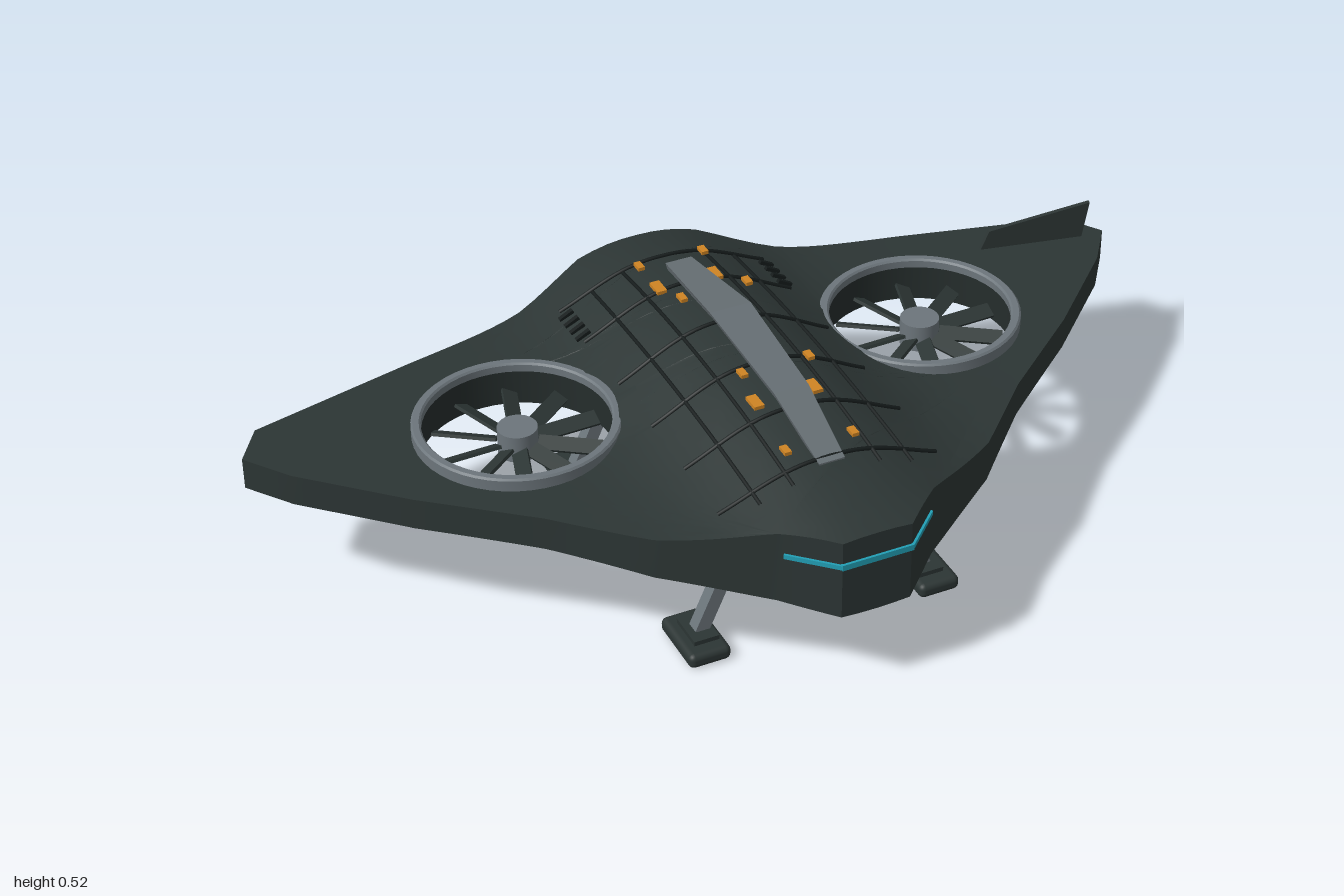
import * as THREE from 'three';
import { mergeGeometries, toCreasedNormals } from 'three/addons/utils/BufferGeometryUtils.js';
import { RoundedBoxGeometry } from 'three/addons/geometries/RoundedBoxGeometry.js';

const mat = (name, color, side = THREE.FrontSide) => {
  const m = new THREE.MeshStandardMaterial({ color, side });
  m.name = name;
  return m;
};

// Right half of the planform, nose to tail, as [x, z]
const HALF = [[0.075, 0.555], [0.17, 0.465], [0.37, 0.33], [0.53, 0.17], [0.74, 0], [0.93, -0.18],
  [1, -0.275], [0.945, -0.36], [0.58, -0.45], [0.305, -0.51], [0.14, -0.573]];
const OUTLINE = [...HALF, ...HALF.map(([x, z]) => [-x, z]).reverse()];
const FAN = { x: 0.463, z: -0.135, r: 0.207 };
const STEP = 0.06;

// Upper and lower skin heights
const top = (x, z) => 0.33 + (0.132 - 0.18 * (z + 0.1) ** 2) * Math.exp(-((Math.abs(x) / 0.23) ** 2.4));
const bottom = (x) => 0.26 - 0.06 * Math.exp(-((x / 0.33) ** 2));

// Blended-wing hull: two curved skins with fan openings, joined by a rim wall
function hullGeometry() {
  const shape = new THREE.Shape(OUTLINE.map(([x, z]) => new THREE.Vector2(x, -z)));
  for (const s of [1, -1]) {
    const hole = new THREE.Path();
    hole.absarc(s * FAN.x, -FAN.z, FAN.r, 0, Math.PI * 2, true);
    shape.holes.push(hole);
  }
  const flat = new THREE.ShapeGeometry(shape, 24);
  const p = flat.attributes.position;
  const idx = flat.index.array;
  const out = [];
  const pt = (i) => [p.getX(i), -p.getY(i)];
  const dist = (a, b) => Math.hypot(a[0] - b[0], a[1] - b[1]);
  const mid = (a, b) => [(a[0] + b[0]) / 2, (a[1] + b[1]) / 2];
  const up = (q) => [q[0], top(q[0], q[1]), q[1]];
  const down = (q) => [q[0], bottom(q[0]), q[1]];

  // Bisect the longest edge until every triangle is small enough to bend
  const split = (a, b, c) => {
    const ab = dist(a, b), bc = dist(b, c), ca = dist(c, a);
    const longest = Math.max(ab, bc, ca);
    if (longest <= STEP) {
      out.push(...up(a), ...up(b), ...up(c), ...down(a), ...down(c), ...down(b));
    } else if (longest === ab) {
      const m = mid(a, b);
      split(a, m, c); split(m, b, c);
    } else if (longest === bc) {
      const m = mid(b, c);
      split(a, b, m); split(a, m, c);
    } else {
      const m = mid(c, a);
      split(a, b, m); split(m, b, c);
    }
  };
  for (let i = 0; i < idx.length; i += 3) split(pt(idx[i]), pt(idx[i + 1]), pt(idx[i + 2]));

  const wall = (a, b) => {
    if (dist(a, b) > STEP) {
      const m = mid(a, b);
      wall(a, m); wall(m, b);
      return;
    }
    out.push(...down(a), ...down(b), ...up(b), ...down(a), ...up(b), ...up(a));
  };
  OUTLINE.forEach((a, i) => wall(a, OUTLINE[(i + 1) % OUTLINE.length]));

  const g = new THREE.BufferGeometry();
  g.setAttribute('position', new THREE.Float32BufferAttribute(out, 3));
  return toCreasedNormals(g, 0.5);
}

// Raised dorsal strip lofted from rectangular sections [z, top y, half width]
function spineGeometry() {
  const sections = [[0.36, 0.427, 0.028], [0.18, 0.485, 0.038], [-0.1, 0.512, 0.046], [-0.355, 0.482, 0.03]];
  const out = [];
  const ring = ([z, y, w]) => [[-w, y, z], [w, y, z], [w * 0.85, y - 0.017, z], [-w * 0.85, y - 0.017, z]];
  const quad = (a, b, c, d) => out.push(...a, ...b, ...c, ...a, ...c, ...d);
  const rings = sections.map(ring);
  for (let i = 0; i < rings.length - 1; i++) {
    const f = rings[i], b = rings[i + 1];
    for (let k = 0; k < 4; k++) quad(f[k], f[(k + 1) % 4], b[(k + 1) % 4], b[k]);
  }
  const f = rings[0], b = rings[rings.length - 1];
  quad(f[3], f[2], f[1], f[0]);
  quad(b[0], b[1], b[2], b[3]);
  const g = new THREE.BufferGeometry();
  g.setAttribute('position', new THREE.Float32BufferAttribute(out, 3));
  g.computeVertexNormals();
  return g;
}

export function createModel() {
  const model = new THREE.Group();
  model.name = 'fanWingDrone';
  const hullMat = mat('hull green-black', 0x2c3534);
  const ribMat = mat('rib black', 0x151b1b);
  const metal = mat('grey metal', 0x6c757b);
  const ductMat = mat('duct dark', 0x252d2c, THREE.DoubleSide);
  const spineMat = mat('spine grey', 0x666e73, THREE.DoubleSide);
  const orange = mat('marker orange', 0xcf8423);
  const cyan = mat('light cyan', 0x229fb5);

  const add = (name, geo, material, x = 0, y = 0, z = 0, parent = model) => {
    const m = new THREE.Mesh(geo, material);
    m.name = name;
    m.position.set(x, y, z);
    parent.add(m);
    return m;
  };
  const box = (w, h, d) => new THREE.BoxGeometry(w, h, d);

  add('hull', hullGeometry(), hullMat);
  add('spine', spineGeometry(), spineMat);

  // Ribs that follow the upper skin
  const rib = (name, from, to) => {
    const pts = [];
    for (let i = 0; i <= 16; i++) {
      const x = from[0] + (to[0] - from[0]) * i / 16, z = from[1] + (to[1] - from[1]) * i / 16;
      pts.push(new THREE.Vector3(x, top(x, z) + 0.002, z));
    }
    add(name, new THREE.TubeGeometry(new THREE.CatmullRomCurve3(pts), 32, 0.0045, 6), ribMat);
  };
  for (const x of [-0.166, -0.095, 0.095, 0.166]) rib('longRib', [x, 0.385], [x, -0.43]);
  for (const z of [0.345, 0.19, 0.035, -0.13, -0.305, -0.44]) rib('crossRib', [-0.24, z], [0.24, z]);

  // Lift fan: hub, pitched blades, duct and rim
  const bladeParts = [];
  for (let i = 0; i < 10; i++) {
    bladeParts.push(box(0.135, 0.007, 0.034).rotateX(0.45).translate(0.11, 0, 0)
      .rotateY(i * Math.PI / 5 + 0.03));
  }
  const blades = mergeGeometries(bladeParts);
  const duct = new THREE.CylinderGeometry(0.203, 0.203, 0.095, 48, 1, true);
  const rimProfile = [[0.194, 0.338], [0.194, 0.354], [0.198, 0.358], [0.211, 0.358], [0.215, 0.354],
    [0.215, 0.325]].map(([r, y]) => new THREE.Vector2(r, y));
  const rim = toCreasedNormals(new THREE.LatheGeometry(rimProfile.reverse(), 48), 0.6);
  const rimMat = mat('rim grey', 0x6c757b, THREE.DoubleSide);

  for (const s of [1, -1]) {
    const fan = new THREE.Group();
    fan.name = s > 0 ? 'leftFan' : 'rightFan';
    fan.position.set(s * FAN.x, 0, FAN.z);
    model.add(fan);
    add('fanHub', new THREE.CylinderGeometry(0.042, 0.042, 0.06, 24), metal, 0, 0.305, 0, fan);
    add('fanBlades', blades, hullMat, 0, 0.3, 0, fan);
    add('fanDuct', duct, ductMat, 0, 0.3, 0, fan);
    add('fanRim', rim, rimMat, 0, 0, 0, fan);

    // Rear louvres
    for (const z of [-0.415, -0.385, -0.355, -0.325]) {
      add('louvre', box(0.035, 0.008, 0.01), ribMat, s * 0.235, top(0.235, z) + 0.004, z).rotation.z = -s * 0.5;
    }

    // Marker blocks beside the spine: [x, y, z, width, length]
    for (const [x, y, z, w, l] of [[0.074, 0.439, 0.305, 0.015, 0.026], [0.065, 0.453, 0.15, 0.022, 0.042],
      [0.074, 0.501, 0.11, 0.015, 0.026], [0.074, 0.513, -0.175, 0.015, 0.026],
      [0.065, 0.453, -0.315, 0.022, 0.042], [0.074, 0.465, -0.392, 0.015, 0.026]]) {
      add('marker', box(w, 0.008, l), orange, s * x, y, z);
    }

    // Landing gear
    add('gearRail', new RoundedBoxGeometry(0.05, 0.026, 0.82, 2, 0.008), hullMat, s * 0.17, 0.213, -0.03);
    for (const z of [0.28, -0.34]) {
      add('gearLeg', box(0.03, 0.19, 0.03), metal, s * 0.215, 0.125, z).rotation.z = s * 0.42;
      add('footPlate', box(0.055, 0.012, 0.085), hullMat, s * 0.255, 0.037, z);
      add('foot', new RoundedBoxGeometry(0.092, 0.033, 0.15, 3, 0.013), hullMat, s * 0.26, 0.0165, z);
    }

    // Nose light, swept along the leading edge
    const a = new THREE.Vector2(0.075, 0.555), b = new THREE.Vector2(0.16, 0.474);
    const side = add('noseLightSide', box(a.distanceTo(b), 0.01, 0.009), cyan,
      s * (a.x + b.x) / 2, 0.327, (a.y + b.y) / 2 + 0.001);
    side.rotation.y = s * Math.atan2(a.y - b.y, b.x - a.x);

    add('bellyMarker', box(0.016, 0.007, 0.14), orange, s * 0.05, 0.177, -0.03);
  }
  add('noseLight', box(0.155, 0.013, 0.009), cyan, 0, 0.327, 0.556);

  // Belly pack
  add('bellyPack', new RoundedBoxGeometry(0.18, 0.036, 0.305, 2, 0.008), hullMat, 0, 0.197, -0.0325);

  // Single fin on the left wing tip
  const finShape = new THREE.Shape([[0, 0.325], [0.02, 0.374], [0.25, 0.415], [0.235, 0.325]]
    .map(([x, y]) => new THREE.Vector2(x, y)));
  const fin = add('tipFin', new THREE.ExtrudeGeometry(finShape, { depth: 0.01, bevelEnabled: false }),
    hullMat, 0.717, 0, -0.332);
  fin.rotation.y = -0.205;

  return model;
}
